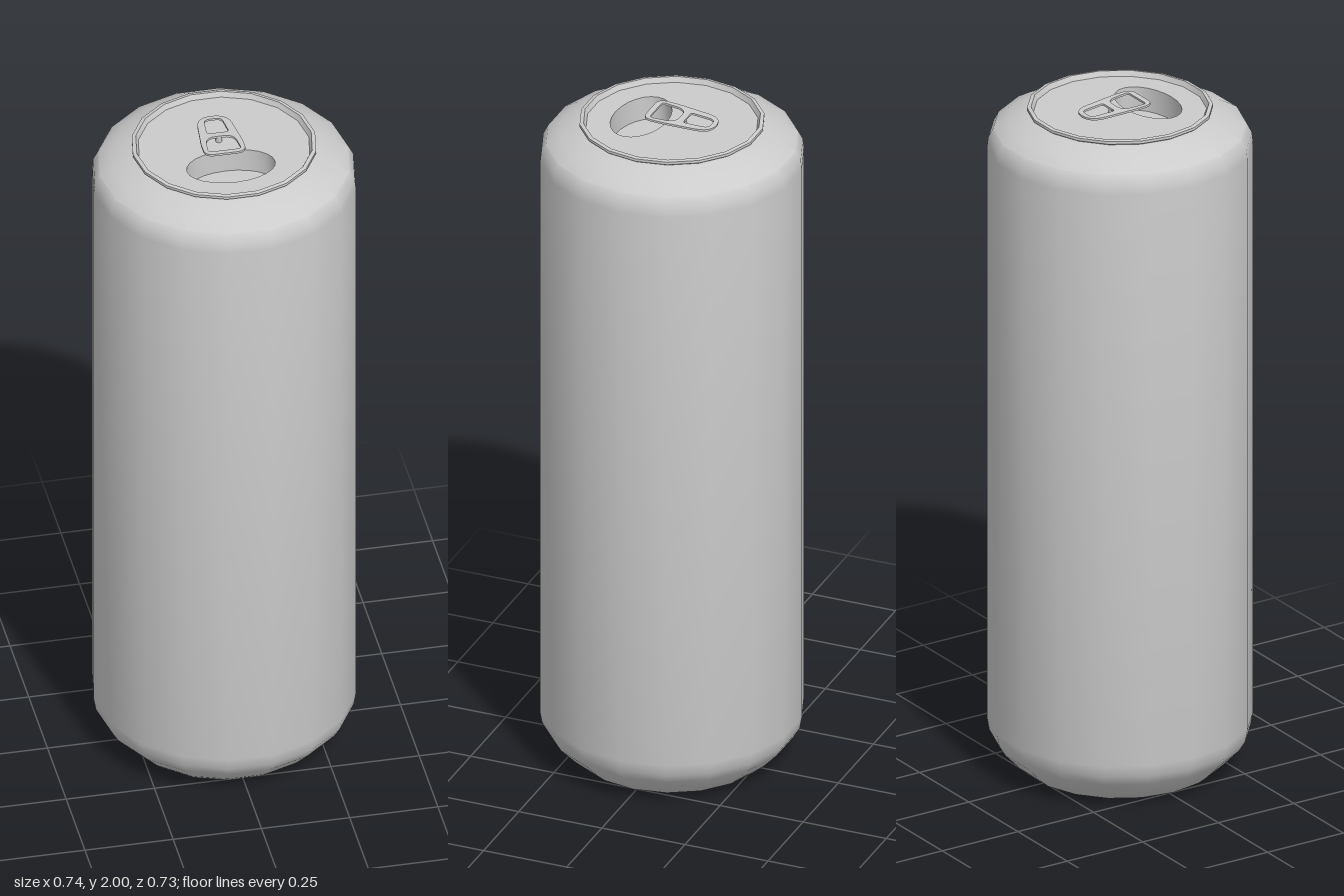
import * as THREE from 'three';
import { toCreasedNormals } from 'three/addons/utils/BufferGeometryUtils.js';

const SIDES = 18;
const LID_Y = 1.972, LID_R = 0.24;
const v = (x, y) => new THREE.Vector2(x, y);

// points of an ellipse in the lid plane
const ellipse = (cx, cy, rx, ry, n) => Array.from({ length: n }, (_, i) => {
  const a = (i / n) * Math.PI * 2;
  return v(cx + rx * Math.cos(a), cy + ry * Math.sin(a));
});

// polygon [x, y, cornerRadius] with rounded corners
function rounded(path, corners) {
  const n = corners.length;
  const pts = corners.map(c => v(c[0], c[1]));
  corners.forEach(([, , r], i) => {
    const p = pts[i];
    const a = pts[(i + n - 1) % n].clone().sub(p).setLength(r).add(p);
    const b = pts[(i + 1) % n].clone().sub(p).setLength(r).add(p);
    if (i === 0) path.moveTo(a.x, a.y); else path.lineTo(a.x, a.y);
    path.quadraticCurveTo(p.x, p.y, b.x, b.y);
  });
  path.closePath();
  return path;
}

export function createModel() {
  const group = new THREE.Group();
  const material = new THREE.MeshStandardMaterial({ color: 0xcccccc });
  const add = (name, geometry) => {
    const mesh = new THREE.Mesh(geometry, material);
    mesh.name = name;
    group.add(mesh);
    return mesh;
  };

  // body: base, wall, shoulder and rolled rim, with a vertex on the x axis
  const profile = [
    [0, 0.004], [0.235, 0.004], [0.25, 0.004], [0.272, 0.014], [0.3, 0.038], [0.345, 0.085],
    [0.363, 0.115], [0.369, 0.15], [0.369, 1.87], [0.366, 1.897], [0.352, 1.924],
    [0.315, 1.945], [0.264, 1.97], [0.252, 1.973], [0.258, 1.977], [0.258, 1.985],
    [0.247, 1.987], [LID_R, LID_Y],
  ].map(p => v(...p));
  const body = new THREE.LatheGeometry(profile, SIDES).rotateY(Math.PI / 2);
  add('body', toCreasedNormals(body, 0.6));

  // lid with the mouth opening
  const mouth = { z: 0.093, rx: 0.125, rz: 0.077, n: 24, depth: 0.07 };
  const lid = new THREE.Shape(ellipse(0, 0, LID_R, LID_R, SIDES));
  lid.holes.push(new THREE.Path(ellipse(0, -mouth.z, mouth.rx, mouth.rz, mouth.n)));
  add('lid', new THREE.ShapeGeometry(lid).rotateX(-Math.PI / 2)).position.y = LID_Y;

  // sunken pocket below the opening
  const pocket = new THREE.LatheGeometry(
    [v(1, 0), v(1, -mouth.depth), v(0, -mouth.depth)], mouth.n)
    .scale(mouth.rx, 1, mouth.rz);
  add('mouthPocket', toCreasedNormals(pocket, 0.8)).position.set(0, LID_Y, mouth.z);

  // pull tab: tapered plate with a finger hole and a front window, raised at the front
  const plate = rounded(new THREE.Shape(), [
    [-0.059, -0.068, 0.028], [0.059, -0.068, 0.028],
    [0.059, -0.01, 0.015], [0.044, 0.131, 0.045], [-0.044, 0.131, 0.045], [-0.059, -0.01, 0.015],
  ]);
  plate.holes.push(
    rounded(new THREE.Path(), [
      [-0.047, -0.052, 0.012], [0.047, -0.052, 0.012], [0.04, 0.023, 0.03], [-0.04, 0.023, 0.03]]),
    rounded(new THREE.Path(), [
      [-0.031, 0.042, 0.009], [0.031, 0.042, 0.009], [0.025, 0.116, 0.018], [-0.025, 0.116, 0.018]]),
  );
  const tab = new THREE.ExtrudeGeometry(plate, { depth: 0.006, bevelEnabled: false, curveSegments: 6 })
    .rotateX(-Math.PI / 2).rotateX(-0.06);
  add('pullTab', toCreasedNormals(tab, 0.6)).position.set(-0.008, 1.99, 0);

  // rivet joining the tab to the lid, hidden under its cross bar
  add('tabRivet', new THREE.CylinderGeometry(0.009, 0.009, 0.018, 12))
    .position.set(-0.008, LID_Y + 0.008, -0.032);

  return group;
}
